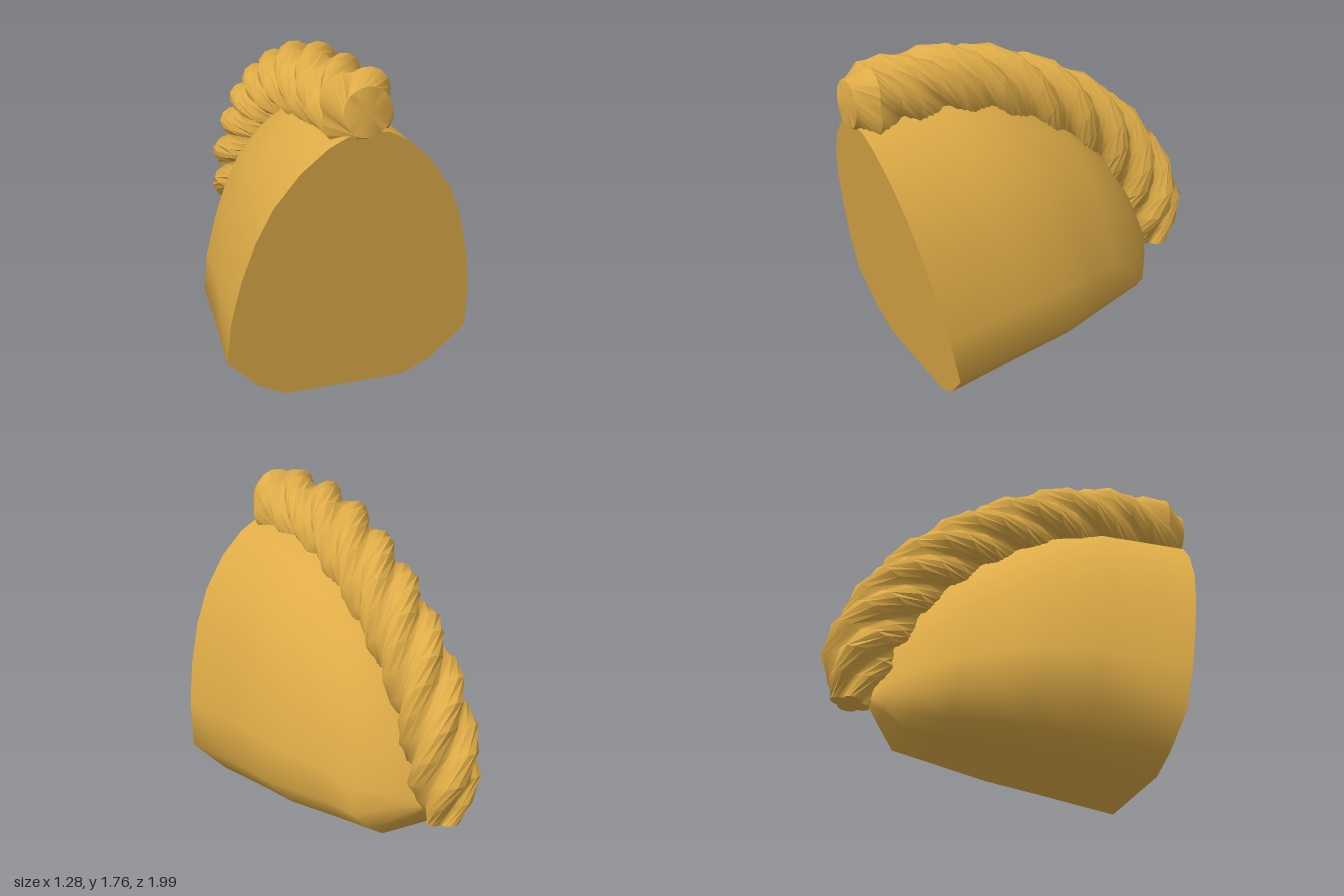
import * as THREE from 'three';
import { toCreasedNormals } from 'three/addons/utils/BufferGeometryUtils.js';

// Skin a list of equal-length closed rings and close both ends.
function loft(rings, crease) {
  const n = rings[0].length, pts = rings.flat(), idx = [];
  for (let i = 0; i < rings.length - 1; i++) {
    for (let j = 0; j < n; j++) {
      const a = i * n + j, b = i * n + (j + 1) % n;
      idx.push(a, a + n, b, b, a + n, b + n);
    }
  }
  const addCap = (ring, start, flip) => {
    const c = pts.length;
    pts.push(ring.reduce((s, p) => s.add(p), new THREE.Vector3()).divideScalar(n));
    for (let j = 0; j < n; j++) {
      const a = start + j, b = start + (j + 1) % n;
      idx.push(c, flip ? b : a, flip ? a : b);
    }
  };
  addCap(rings[0], 0, false);
  addCap(rings[rings.length - 1], (rings.length - 1) * n, true);
  const g = new THREE.BufferGeometry().setFromPoints(pts);
  g.setIndex(idx);
  return toCreasedNormals(g, crease);
}

// Domed shell: an arched cross-section that narrows and lowers towards the back.
function shellGeometry() {
  const half = [[0.32, 0], [0.47, 0.08], [0.64, 0.255], [0.63, 0.5], [0.59, 0.73], [0.53, 0.945],
    [0.45, 1.13], [0.33, 1.3], [0.2, 1.42], [0.1, 1.475]];
  const outline = [...half, [0, 1.487], ...half.slice().reverse().map(([x, v]) => [-x, v])];
  // distance back, width scale, bottom and top height, all in the tilted frame
  const stations = [[0, 1, 0, 1.487], [0.45, 0.91, -0.02, 1.42], [0.73, 0.855, -0.035, 1.3],
    [0.91, 0.74, -0.043, 1.17], [1.09, 0.62, -0.051, 1.01], [1.27, 0.5, -0.06, 0.77],
    [1.39, 0.25, 0.03, 0.48], [1.47, 0.05, 0.09, 0.17]];
  const rings = stations.map(([u, k, low, high]) => outline.map(([x, v]) => {
    const h = low + (high - low) * v / 1.487;
    return new THREE.Vector3(x * k, 0.188 * u + 0.982 * h, 0.68 - 0.982 * u + 0.188 * h);
  }));
  return loft(rings, 1.0);
}

// Four-strand rope swept over the ridge of the shell, coarse along its length.
function ropeGeometry() {
  const path = new THREE.CatmullRomCurve3([
    [-0.02, 1.565, 0.985], [-0.04, 1.56, 0.8], [-0.065, 1.56, 0.58], [-0.07, 1.54, 0.35],
    [-0.07, 1.44, 0.05], [-0.07, 1.3, -0.22], [-0.07, 1.1, -0.48], [-0.07, 0.87, -0.67],
    [-0.06, 0.62, -0.8], [-0.04, 0.33, -0.845],
  ].map(p => new THREE.Vector3(...p)));
  const length = path.getLength(), steps = 22, sides = 24, pitch = 1.1;
  const side = new THREE.Vector3(1, 0, 0), rings = [];
  for (let i = 0; i <= steps; i++) {
    const s = length * i / steps;
    const p = path.getPointAt(i / steps);
    const out = new THREE.Vector3().crossVectors(side, path.getTangentAt(i / steps)).normalize();
    const taper = Math.min(1, 0.6 + s * 3.5, 0.5 + (length - s) * 2);
    const groove = 0.065 * Math.min(1, s * 5);
    const twist = -2 * Math.PI * s / pitch;
    rings.push(Array.from({ length: sides }, (_, j) => {
      const a = 2 * Math.PI * j / sides;
      const r = taper * (0.205 - groove * (1 - Math.abs(Math.cos(2 * a))));
      return p.clone()
        .addScaledVector(side, r * Math.cos(a + twist))
        .addScaledVector(out, r * Math.sin(a + twist));
    }));
  }
  return loft(rings, 1.1);
}

export function createModel() {
  const gold = new THREE.MeshStandardMaterial({ color: 0xdfac47 });
  gold.name = 'gold';
  const model = new THREE.Group();
  model.name = 'ropedShell';
  for (const [name, geometry] of [['shell', shellGeometry()], ['twistedRope', ropeGeometry()]]) {
    const mesh = new THREE.Mesh(geometry, gold);
    mesh.name = name;
    model.add(mesh);
  }
  return model;
}
